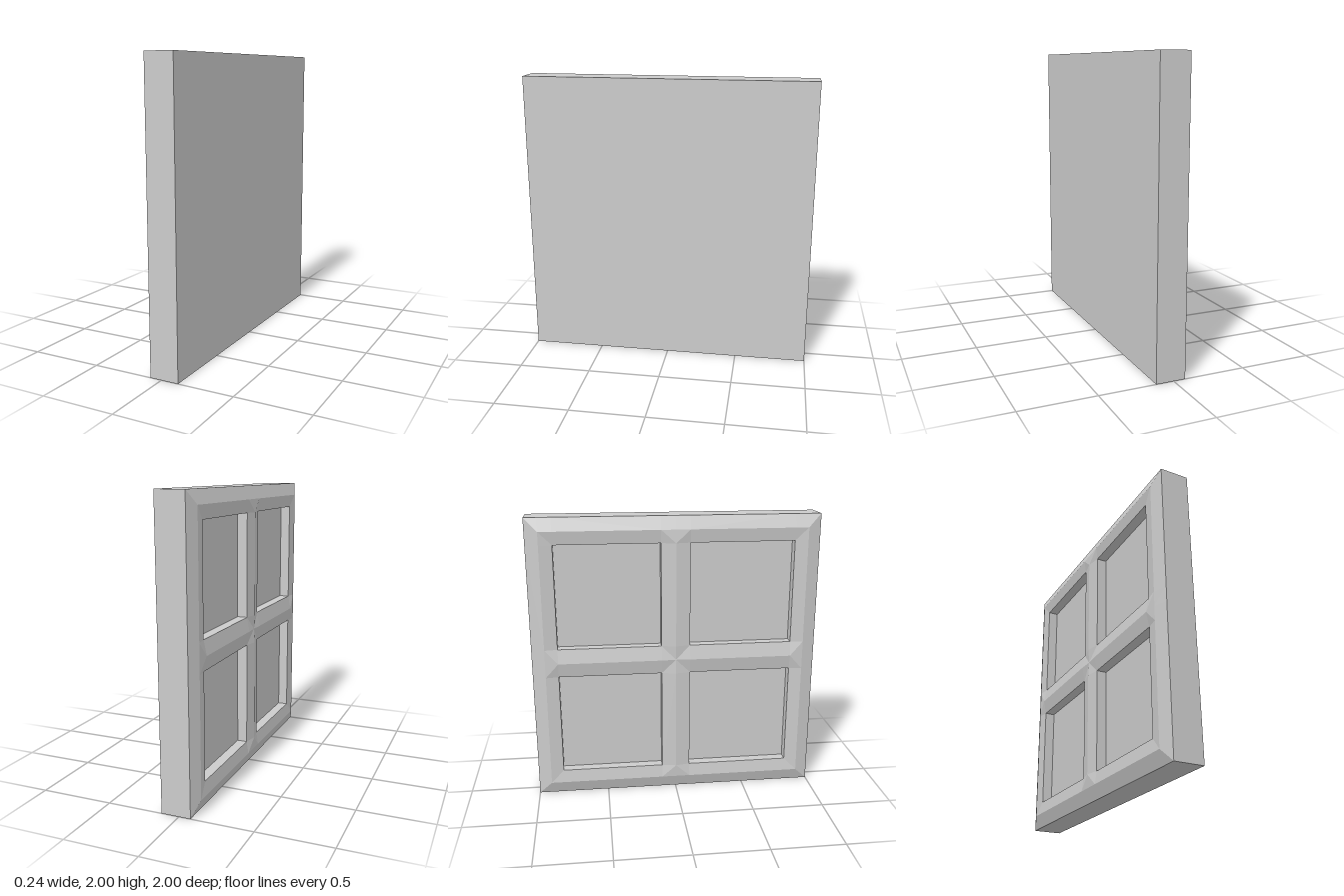
import * as THREE from 'three';

const material = new THREE.MeshStandardMaterial({ color: 0xcccccc, flatShading: true });

const BACK = 0.12;    // flat side of the slab
const PANE = -0.03;   // depth of the recessed panes

// Grid lines shared by both axes: edge, rim, pane edges, centre, then mirrored.
const half = [0, 0.09, 0.18, 0.9, 1];
const lines = [...half, ...half.slice(0, 4).reverse().map((v) => 2 - v)];
const ringOf = (i) => Math.min(i, 8 - i);

// How far the moulded face stands out towards -x at a grid point.
function relief(i, j) {
  const a = ringOf(i), b = ringOf(j);
  const outer = Math.min(a, b);
  if (outer === 0) return 0.08;               // outer edge
  if (outer === 1) return 0.113;              // raised rim
  if (a === 4 && b === 4) return 0.114;       // dip where the bars cross
  return a === 4 || b === 4 ? 0.12 : 0.1;     // bar ridge or pane lip
}

function frameGeometry() {
  const positions = [];
  const point = (i, j) => [-relief(i, j), lines[j], lines[i] - 1];
  const deep = (p) => [PANE, p[1], p[2]];
  const quad = (a, b, c, d) => positions.push(...a, ...b, ...c, ...a, ...c, ...d);
  const wall = (a, b) => quad(a, b, deep(b), deep(a));

  for (let i = 0; i < 8; i++) {
    for (let j = 0; j < 8; j++) {
      const c = [point(i, j), point(i + 1, j), point(i + 1, j + 1), point(i, j + 1)];
      const isPane = (i === 2 || i === 5) && (j === 2 || j === 5);
      if (isPane) {
        // inner walls of the window opening
        c.forEach((p, k) => wall(p, c[(k + 1) % 4]));
      } else if ((i < 4) === (j < 4)) {
        quad(c[0], c[1], c[2], c[3]);
      } else {
        // mirrored diagonal keeps the mitres symmetrical
        quad(c[1], c[2], c[3], c[0]);
      }
    }
  }

  // outer sides of the frame
  const rim = [point(0, 0), point(8, 0), point(8, 8), point(0, 8)];
  rim.forEach((p, k) => wall(rim[(k + 1) % 4], p));

  const geometry = new THREE.BufferGeometry();
  geometry.setAttribute('position', new THREE.Float32BufferAttribute(positions, 3));
  geometry.computeVertexNormals();
  return geometry;
}

export function createModel() {
  const group = new THREE.Group();
  group.name = 'windowPanel';

  // solid slab whose -x face shows through as the four panes
  const slab = new THREE.Mesh(new THREE.BoxGeometry(BACK - PANE, 2, 2), material);
  slab.name = 'paneSlab';
  slab.position.set((BACK + PANE) / 2, 1, 0);

  // bevelled frame with ridged cross bars
  const frame = new THREE.Mesh(frameGeometry(), material);
  frame.name = 'windowFrame';

  group.add(slab, frame);
  return group;
}
